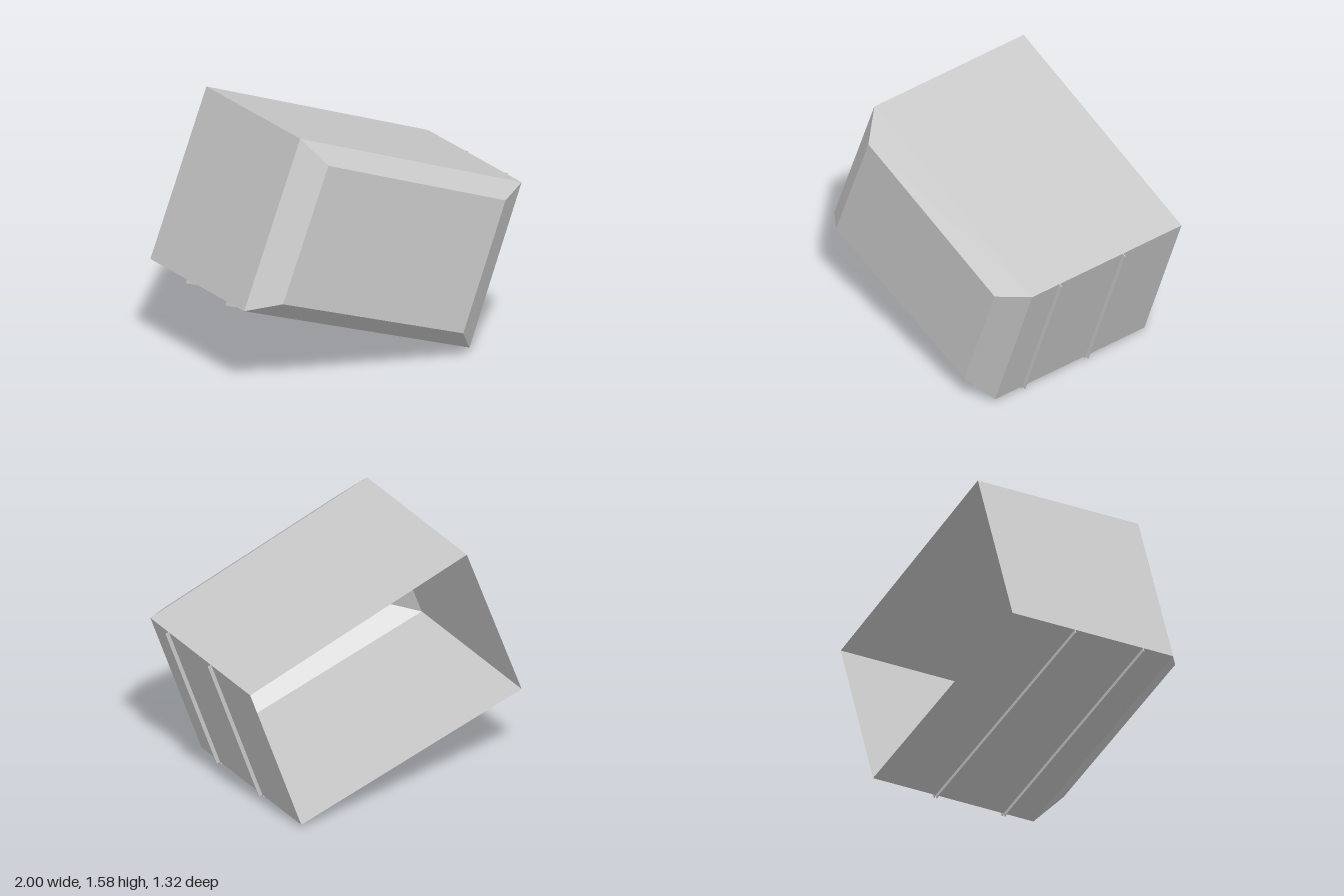
import * as THREE from 'three';

// Tilted outline corners: top left, top right, bottom right, bottom left
const RIM = [[-0.595, 1.58], [0.974, 1.04], [0.604, 0.026], [-0.992, 0.524]];
const FACE = [[-0.475, 1.425], [0.78, 0.995], [0.48, 0.18], [-0.797, 0.578]];
const BACK_Z = -0.657, SHOULDER_Z = 0.517, FRONT_Z = 0.659;

// Flat-faced geometry from a list of four-cornered faces
function quads(list) {
  const positions = [];
  for (const [a, b, c, d] of list) positions.push(...a, ...b, ...c, ...a, ...c, ...d);
  const geometry = new THREE.BufferGeometry();
  geometry.setAttribute('position', new THREE.Float32BufferAttribute(positions, 3));
  geometry.computeVertexNormals();
  return geometry;
}

// Band of faces joining two four-cornered sections
function band(front, frontZ, back, backZ) {
  return quads(front.map((p, i) => {
    const j = (i + 1) % 4;
    return [[...p, frontZ], [...front[j], frontZ], [...back[j], backZ], [...back[i], backZ]];
  }));
}

export function createModel() {
  const group = new THREE.Group();
  const grey = new THREE.MeshStandardMaterial({ color: 0xc8c8c8, side: THREE.DoubleSide });
  grey.name = 'grey';
  const add = (name, geometry) => {
    const mesh = new THREE.Mesh(geometry, grey);
    mesh.name = name;
    group.add(mesh);
    return mesh;
  };

  // Thin shell, open at the back
  add('sideWalls', band(RIM, SHOULDER_Z, RIM, BACK_Z));
  add('frontBevel', band(FACE, FRONT_Z, RIM, SHOULDER_Z));
  add('frontPanel', quads([[...FACE].reverse().map((p) => [...p, FRONT_Z])]));

  // Thin ribs standing out from the left wall and the floor
  const height = 0.025, thickness = 0.006;
  const edges = [['leftWallRib', RIM[1], RIM[2]], ['floorRib', RIM[2], RIM[3]]];
  for (const z of [0.301, -0.197]) {
    for (const [name, a, b] of edges) {
      const dx = b[0] - a[0], dy = b[1] - a[1], length = Math.hypot(dx, dy);
      const rib = add(name, new THREE.BoxGeometry(length, height, thickness));
      rib.position.set(
        (a[0] + b[0]) / 2 - (dy / length) * height / 2,
        (a[1] + b[1]) / 2 + (dx / length) * height / 2,
        z
      );
      rib.rotation.z = Math.atan2(dy, dx);
    }
  }
  return group;
}
